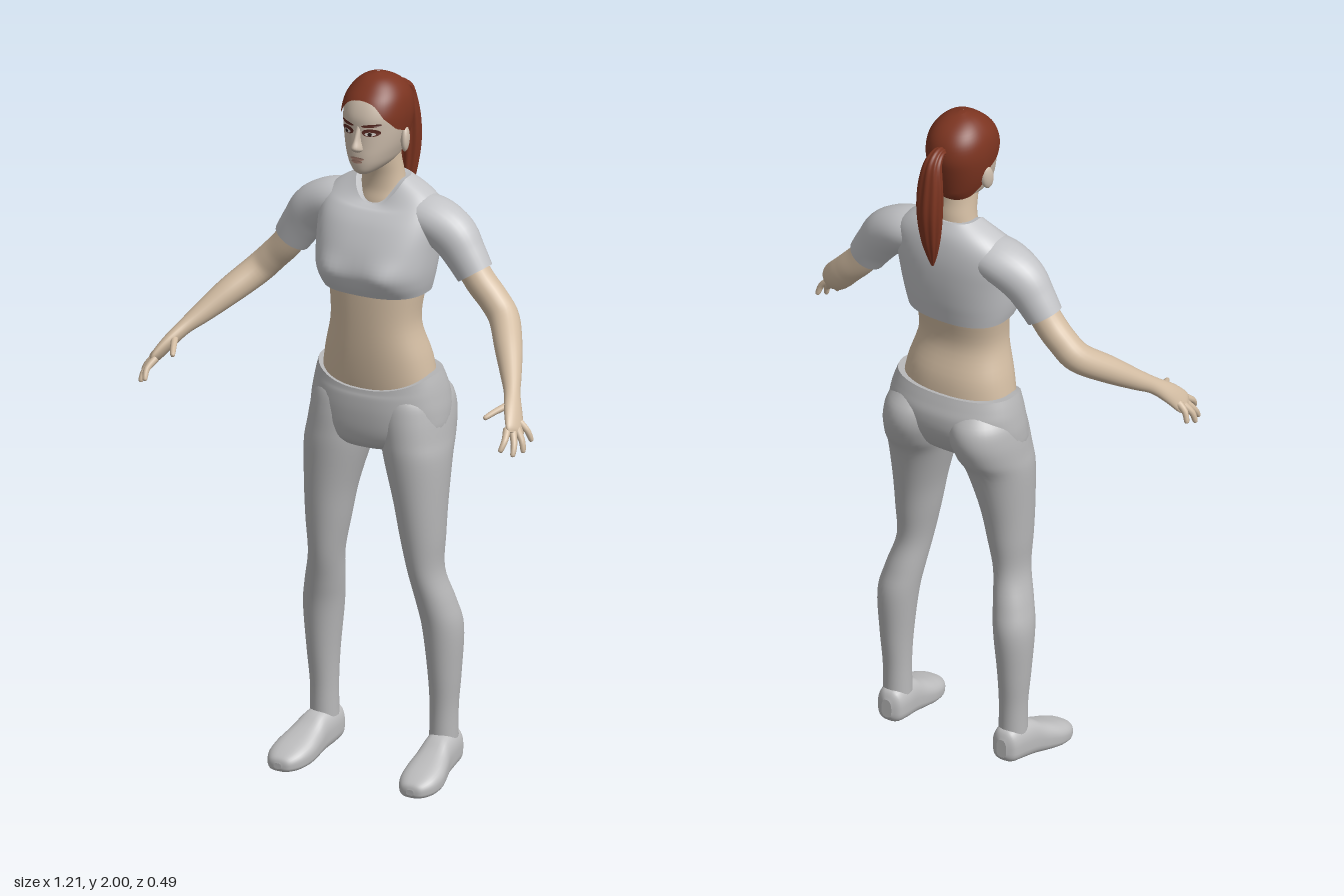
import * as THREE from 'three';

const mat = (name, color) => Object.assign(new THREE.MeshStandardMaterial({ color }), { name });
const M = {
  skin: mat('body skin', 0xd2bca2), face: mat('face skin', 0xcdbdac), hair: mat('auburn hair', 0x7c3420),
  shirt: mat('shirt grey', 0xc3c4c7), pants: mat('leggings grey', 0xb7b7b8), shoe: mat('shoe grey', 0xbebebf),
  shadow: mat('eye shadow', 0x5a2a22), white: mat('eye white', 0xd8d2cc), dark: mat('iris dark', 0x2a1a16),
  lip: mat('lips', 0xa67f70),
};

// Smoothly resample rows of numbers, k steps between neighbours
function dense(rows, k = 5) {
  const out = [], at = i => rows[Math.max(0, Math.min(rows.length - 1, i))];
  for (let i = 0; i < rows.length - 1; i++) {
    const [a, b, c, d] = [at(i - 1), at(i), at(i + 1), at(i + 2)];
    for (let j = 0; j < k; j++) {
      const t = j / k;
      out.push(b.map((v, n) => {
        const cubic = 3 * (v - c[n]) + d[n] - a[n];
        const square = 2 * a[n] - 5 * v + 4 * c[n] - d[n];
        return v + 0.5 * t * (c[n] - a[n] + t * (square + t * cubic));
      }));
    }
  }
  out.push(rows[rows.length - 1]);
  return out;
}

// Skin over a list of closed rings, with flat caps
function loft(rings, caps = true) {
  const n = rings[0].length, pos = [], idx = [];
  rings.forEach(r => r.forEach(p => pos.push(p.x, p.y, p.z)));
  for (let i = 0; i < rings.length - 1; i++) {
    for (let j = 0; j < n; j++) {
      const a = i * n + j, b = i * n + (j + 1) % n;
      idx.push(a, a + n, b, b, a + n, b + n);
    }
  }
  if (caps) [rings[0], rings[rings.length - 1]].forEach((r, end) => {
    const s = pos.length / 3, c = new THREE.Vector3();
    r.forEach(p => { pos.push(p.x, p.y, p.z); c.addScaledVector(p, 1 / n); });
    pos.push(c.x, c.y, c.z);
    for (let j = 0; j < n; j++) {
      const k = (j + 1) % n;
      idx.push(s + n, s + (end ? k : j), s + (end ? j : k));
    }
  });
  const g = new THREE.BufferGeometry();
  g.setAttribute('position', new THREE.Float32BufferAttribute(pos, 3));
  g.setIndex(idx);
  g.computeVertexNormals();
  return g;
}

const pw = (v, e) => Math.sign(v) * Math.abs(v) ** e;
const around = (n, f) => Array.from({ length: n }, (_, j) => f(j / n * Math.PI * 2));

// Upright form; rows bottom to top: [y, centre x, half width, front z, back z, front dip]
function upright(rows, e = 0.88, n = 40) {
  return loft(dense(rows).map(([y, cx, rx, zf, zb, dip]) => around(n, t => {
    const s = Math.sin(t);
    return new THREE.Vector3(cx + rx * pw(Math.cos(t), e), y - (dip || 0) * Math.max(0, s) ** 1.6,
      (zf + zb) / 2 + (zf - zb) / 2 * pw(s, e));
  })));
}

// Tapered form along a path; rows: [x, y, z, radius, radius across]
function limb(rows, ref = new THREE.Vector3(0, 0, 1), n = 18, ridge = 0, k = 5) {
  const d = dense(rows, k), P = r => new THREE.Vector3(r[0], r[1], r[2]);
  return loft(d.map((r, i) => {
    const dir = P(d[Math.min(i + 1, d.length - 1)]).sub(P(d[Math.max(i - 1, 0)])).normalize();
    const u = ref.clone().cross(dir).normalize(), v = u.clone().cross(dir);
    return around(n, t => {
      const m = 1 + ridge * Math.cos(t * 9);
      return P(r).addScaledVector(u, r[3] * m * Math.cos(t)).addScaledVector(v, r[4] * m * Math.sin(t));
    });
  }));
}

function mirrored(g) {
  const m = g.clone().scale(-1, 1, 1), ix = m.index.array;
  for (let i = 0; i < ix.length; i += 3) [ix[i], ix[i + 1]] = [ix[i + 1], ix[i]];
  m.computeVertexNormals();
  return m;
}

// Head cross-sections by height: [y, half width, front z, back z]
const HEAD = dense([
  [1.735, 0.018, 0.04, -0.02], [1.745, 0.036, 0.052, -0.08], [1.765, 0.055, 0.057, -0.128], [1.79, 0.066, 0.058, -0.138],
  [1.82, 0.075, 0.056, -0.145], [1.86, 0.082, 0.054, -0.153], [1.90, 0.084, 0.053, -0.158],
  [1.94, 0.077, 0.036, -0.148], [1.97, 0.059, 0.008, -0.125], [1.99, 0.034, -0.02, -0.092], [2.0, 0.004, -0.05, -0.06],
], 6);
// Straight-line lookup in a table sorted by its first column
function lookup(table, key) {
  let i = 1;
  while (i < table.length - 1 && table[i][0] < key) i++;
  const a = table[i - 1], b = table[i], t = THREE.MathUtils.clamp((key - a[0]) / (b[0] - a[0]), 0, 1);
  return a.map((v, n) => v + (b[n] - v) * t);
}
const HE = 0.9;
function headPoint(t, y, grow = 0) {
  const [, rx, zf, zb] = lookup(HEAD, y);
  return new THREE.Vector3((rx + grow) * pw(Math.cos(t), HE), y,
    (zf + zb) / 2 + ((zf - zb) / 2 + grow) * pw(Math.sin(t), HE));
}
// Thin oval lying on the face
function facePatch(cx, cy, w, h, lift, tilt = 0) {
  const g = new THREE.CircleGeometry(1, 24).scale(w, h, 1).rotateZ(tilt).translate(cx, cy, 0);
  const p = g.attributes.position;
  for (let i = 0; i < p.count; i++) {
    const [, rx, zf, zb] = lookup(HEAD, p.getY(i));
    const c = Math.min(1, Math.abs(p.getX(i)) / rx) ** (1 / HE);
    p.setZ(i, (zf + zb) / 2 + (zf - zb) / 2 * Math.sqrt(1 - c * c) ** HE + lift);
  }
  g.computeVertexNormals();
  return g;
}
// Lower edge of the hair from nape (-1) to forehead (1)
const LINE = [[-1, 1.76], [-0.55, 1.77], [-0.2, 1.80], [0, 1.85], [0.35, 1.865], [0.7, 1.9], [0.9, 1.935], [1, 1.945]];

export function createModel() {
  const root = new THREE.Group();
  root.name = 'woman';
  const add = (name, g, m, parent = root) => {
    const mesh = new THREE.Mesh(g, m);
    mesh.name = name;
    parent.add(mesh);
  };
  const pair = (name, g, m) => { add(name + 'Left', g, m); add(name + 'Right', mirrored(g), m); };

  // Bare midriff and neck
  add('midriff', upright([[1.05, 0, 0.16, 0.02, -0.15], [1.11, 0, 0.168, 0.034, -0.168], [1.2, 0, 0.154, 0.043, -0.163],
    [1.3, 0, 0.129, 0.046, -0.135], [1.4, 0, 0.137, 0.045, -0.15], [1.45, 0, 0.14, 0.04, -0.15]]), M.skin);
  add('neck', upright([[1.6, 0, 0.085, -0.02, -0.14], [1.635, 0, 0.076, -0.024, -0.142], [1.67, 0, 0.066, -0.032, -0.141],
    [1.71, 0, 0.058, -0.03, -0.138], [1.75, 0, 0.054, -0.018, -0.13], [1.8, 0, 0.052, 0, -0.125]], 1), M.skin);

  // Cropped shirt with a dipped neckline and a fuller chest
  const shirt = upright([[1.39, 0, 0.149, 0.056, -0.165, 0], [1.42, 0, 0.158, 0.074, -0.171, 0],
    [1.46, 0, 0.166, 0.082, -0.178, 0], [1.52, 0, 0.173, 0.066, -0.184, 0], [1.58, 0, 0.179, 0.036, -0.185, 0],
    [1.63, 0, 0.172, 0.008, -0.179, 0.015], [1.668, 0, 0.132, -0.006, -0.168, 0.045],
    [1.7, 0, 0.074, -0.02, -0.148, 0.07]], 0.8, 56);
  const sp = shirt.attributes.position;
  for (let i = 0; i < sp.count; i++) {
    const dx = (Math.abs(sp.getX(i)) - 0.085) / 0.045, dy = (sp.getY(i) - 1.455) / 0.04, z = sp.getZ(i);
    if (z > 0) sp.setZ(i, z + 0.013 * Math.exp(-dx * dx - dy * dy));
  }
  shirt.computeVertexNormals();
  add('shirt', shirt, M.shirt);
  pair('sleeve', limb([[0.07, 1.605, -0.09, 0.055, 0.07], [0.15, 1.597, -0.09, 0.062, 0.075],
    [0.215, 1.562, -0.088, 0.066, 0.066], [0.255, 1.512, -0.086, 0.059, 0.056], [0.287, 1.464, -0.085, 0.053, 0.05]],
  undefined, 28), M.shirt);

  // Arms and hands
  pair('arm', limb([[0.25, 1.52, -0.085, 0.042, 0.042], [0.3, 1.448, -0.085, 0.043, 0.043], [0.345, 1.4, -0.084, 0.042, 0.042],
    [0.387, 1.356, -0.07, 0.042, 0.042], [0.44, 1.302, -0.003, 0.038, 0.038], [0.485, 1.253, 0.06, 0.029, 0.029],
    [0.515, 1.22, 0.105, 0.021, 0.024], [0.542, 1.183, 0.145, 0.018, 0.031], [0.564, 1.148, 0.174, 0.013, 0.034],
    [0.572, 1.137, 0.183, 0.005, 0.026]], undefined, 24), M.skin);
  const fingers = {
    littleFinger: [[0.566, 1.158, 0.15], [0.588, 1.138, 0.148], [0.599, 1.108, 0.142]],
    ringFinger: [[0.566, 1.148, 0.168], [0.59, 1.12, 0.18], [0.598, 1.088, 0.186]],
    middleFinger: [[0.562, 1.146, 0.182], [0.58, 1.115, 0.205], [0.585, 1.085, 0.222]],
    indexFinger: [[0.552, 1.15, 0.195], [0.562, 1.128, 0.224], [0.558, 1.1, 0.244]],
    thumb: [[0.527, 1.2, 0.135], [0.506, 1.188, 0.178], [0.489, 1.174, 0.212]],
  };
  for (const [name, [a, b, c]] of Object.entries(fingers)) {
    const nearTip = c.map((v, i) => v + (b[i] - v) * 0.15);
    pair(name, limb([[...a, 0.011, 0.011], [...b, 0.009, 0.009], [...nearTip, 0.007, 0.007], [...c, 0.002, 0.002]],
      new THREE.Vector3(0.8, 0.2, 0.5), 10, 0, 3), M.skin);
  }

  // Leggings
  add('hips', upright([[0.945, 0, 0.1, 0.025, -0.1, 0], [0.965, 0, 0.16, 0.04, -0.14, 0], [1.0, 0, 0.2, 0.048, -0.172, 0],
    [1.05, 0, 0.204, 0.05, -0.197, 0], [1.1, 0, 0.197, 0.047, -0.2, 0.01], [1.135, 0, 0.189, 0.043, -0.189, 0.03],
    [1.163, 0, 0.18, 0.041, -0.178, 0.048]], 0.88, 48), M.pants);
  pair('leg', upright([[0.11, 0.187, 0.039, -0.045, -0.13], [0.2, 0.188, 0.038, -0.045, -0.13],
    [0.3, 0.19, 0.044, -0.035, -0.138], [0.43, 0.187, 0.054, -0.02, -0.146], [0.51, 0.174, 0.052, -0.005, -0.129],
    [0.6, 0.156, 0.047, 0.015, -0.106], [0.7, 0.148, 0.059, 0.03, -0.115], [0.8, 0.14, 0.071, 0.04, -0.13],
    [0.92, 0.125, 0.09, 0.048, -0.16], [0.98, 0.115, 0.095, 0.047, -0.195], [1.04, 0.106, 0.097, 0.042, -0.215],
    [1.09, 0.1, 0.09, 0.03, -0.207], [1.13, 0.095, 0.06, 0, -0.17]], 0.97, 36), M.pants);

  // Shoes, toe to heel: [z, centre x, half width, top y, bottom y]
  const shoeRows = dense([[0.13, 0.208, 0.012, 0.028, 0.012], [0.122, 0.207, 0.034, 0.043, 0.003], [0.09, 0.206, 0.054, 0.061, 0],
    [0.045, 0.203, 0.06, 0.08, 0.003], [0, 0.198, 0.053, 0.102, 0.009], [-0.04, 0.193, 0.046, 0.126, 0.016],
    [-0.09, 0.188, 0.044, 0.136, 0.025], [-0.13, 0.186, 0.037, 0.13, 0.033], [-0.145, 0.186, 0.016, 0.105, 0.05]]);
  pair('shoe', loft(shoeRows.map(([z, cx, rx, yt, yb]) => around(32, t => {
    const s = Math.sin(t);
    return new THREE.Vector3(cx + rx * pw(Math.cos(t), 0.75), (yt + yb) / 2 + (yt - yb) / 2 * pw(s, s < 0 ? 0.55 : 0.95), z);
  }))), M.shoe);

  // Head and hair
  const head = new THREE.Group();
  head.name = 'head';
  root.add(head);
  const faceRows = HEAD.filter(r => r[0] < 1.985);
  add('face', loft(faceRows.map(r => around(48, t => headPoint(t, r[0])))), M.face, head);
  const hair = [];
  for (let k = 0; k <= 24; k++) {
    const v = Math.sin(k / 24 * Math.PI / 2);
    hair.push(around(64, t => {
      const h = lookup(LINE, Math.sin(t))[1];
      return headPoint(t, h + (2 - h) * v, 0.006);
    }));
  }
  add('hairCap', loft(hair, false), M.hair, head);
  add('hairCrown', new THREE.SphereGeometry(0.014, 16, 8).scale(1, 0.15, 1).translate(0, 1.998, -0.055), M.hair, head);
  add('ponytail', limb([[0, 1.91, -0.135, 0.014, 0.014], [0, 1.928, -0.17, 0.015, 0.018], [0, 1.905, -0.2, 0.021, 0.026],
    [0, 1.84, -0.212, 0.026, 0.036], [0, 1.76, -0.216, 0.029, 0.037], [0, 1.68, -0.211, 0.023, 0.028],
    [0, 1.62, -0.204, 0.012, 0.015], [0, 1.585, -0.2, 0.003, 0.003]], new THREE.Vector3(1, 0, 0), 54, 0.06), M.hair, head);

  // Facial features
  add('nose', upright([[1.803, 0, 0.008, 0.062, 0.03], [1.81, 0, 0.016, 0.074, 0.03], [1.82, 0, 0.015, 0.081, 0.03],
    [1.84, 0, 0.01, 0.071, 0.03], [1.868, 0, 0.009, 0.058, 0.03], [1.885, 0, 0.006, 0.052, 0.03]], 1, 20), M.face, head);
  add('upperLip', facePatch(0, 1.785, 0.021, 0.005, 0.003), M.lip, head);
  add('lowerLip', facePatch(0, 1.777, 0.017, 0.005, 0.004), M.lip, head);
  for (const s of [1, -1]) {
    const side = s > 0 ? 'Left' : 'Right';
    add('eyeShadow' + side, facePatch(s * 0.036, 1.861, 0.023, 0.011, 0.002), M.shadow, head);
    add('eyebrow' + side, facePatch(s * 0.037, 1.881, 0.025, 0.0045, 0.003, s * 0.1), M.shadow, head);
    add('eye' + side, facePatch(s * 0.036, 1.858, 0.014, 0.0055, 0.004), M.white, head);
    add('iris' + side, facePatch(s * 0.036, 1.858, 0.0052, 0.0052, 0.006), M.dark, head);
    add('ear' + side, new THREE.SphereGeometry(1, 16, 12).scale(0.012, 0.036, 0.02)
      .rotateX(-0.15).rotateY(s * 0.3).translate(s * 0.083, 1.822, -0.058), M.face, head);
  }
  return root;
}
